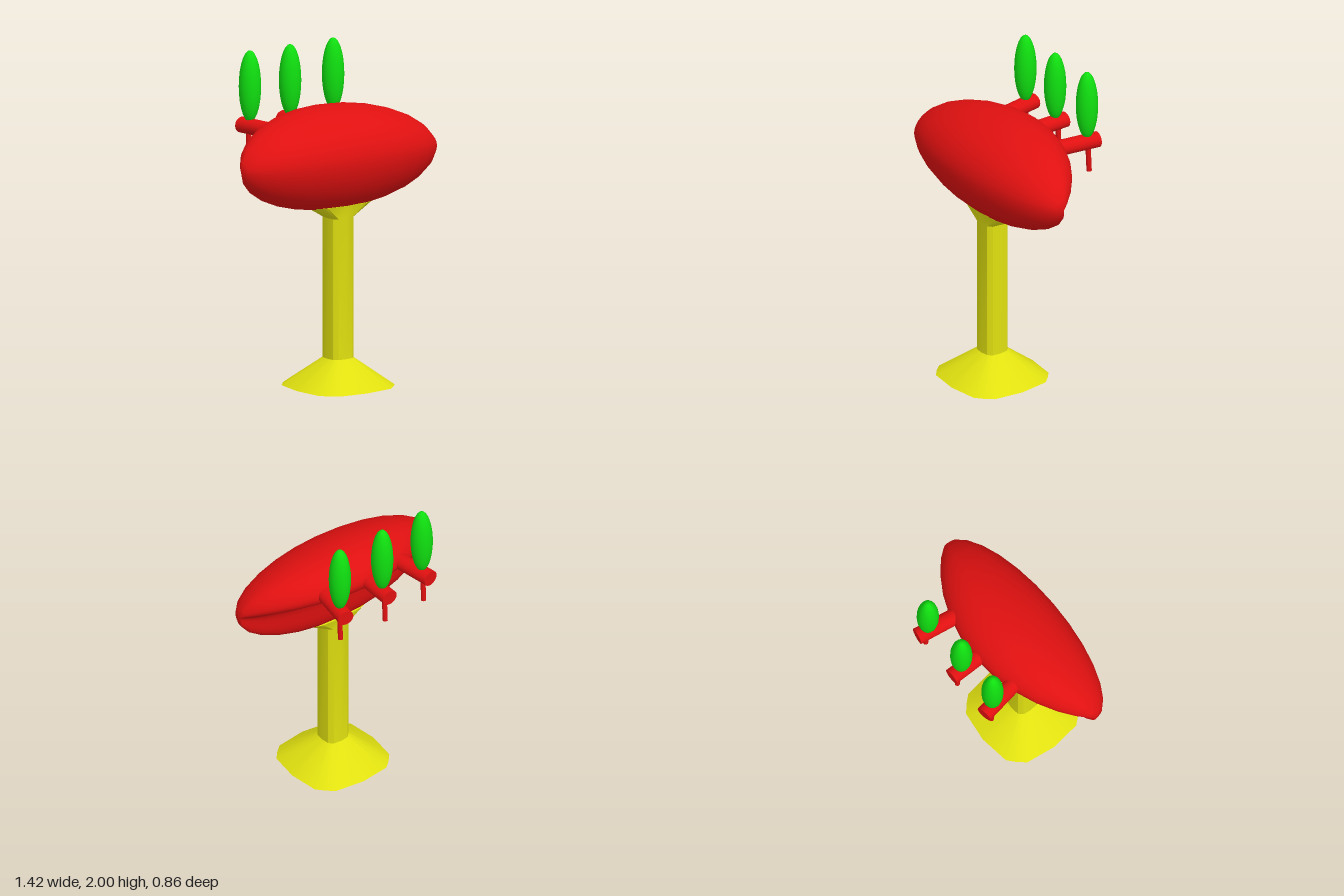
import * as THREE from 'three';
import { mergeVertices, toCreasedNormals } from 'three/addons/utils/BufferGeometryUtils.js';

const red = new THREE.MeshStandardMaterial({ color: 0xe01010 });
const yellow = new THREE.MeshStandardMaterial({ color: 0xe0e010 });
const green = new THREE.MeshStandardMaterial({ color: 0x10e010 });

// Skin a stack of closed rings, each with the same number of points
function loft(rings) {
  const n = rings[0].length, index = [];
  for (let i = 0; i < rings.length - 1; i++) {
    for (let j = 0; j < n; j++) {
      const k = (j + 1) % n;
      const a = i * n + j, b = i * n + k, c = a + n, d = b + n;
      index.push(a, c, b, b, c, d);
    }
  }
  const geo = new THREE.BufferGeometry();
  geo.setAttribute('position', new THREE.Float32BufferAttribute(rings.flat(2), 3));
  geo.setIndex(index);
  const merged = mergeVertices(geo, 1e-5);
  merged.computeVertexNormals();
  return merged;
}

function add(parent, name, geo, mat) {
  const mesh = new THREE.Mesh(geo, mat);
  mesh.name = name;
  parent.add(mesh);
  return mesh;
}

// Bean-shaped section in (z, y), shrinking towards both ends
function bodyGeometry() {
  const cz = 0.12, cy = 1.38, rx = 0.712;
  const section = new THREE.CatmullRomCurve3([
    [0.37, 1.38], [0.34, 1.50], [0.25, 1.60], [0.10, 1.67], [-0.05, 1.685],
    [-0.16, 1.645], [-0.225, 1.58], [-0.235, 1.52], [-0.18, 1.465], [-0.09, 1.415],
    [-0.02, 1.36], [0.005, 1.28], [0.015, 1.18], [0.05, 1.10], [0.12, 1.08],
    [0.22, 1.11], [0.32, 1.22],
  ].map(([z, y]) => new THREE.Vector3(0, y, z)), true).getPoints(34).slice(0, -1);
  const rings = [], steps = 14;
  for (let i = 0; i <= steps; i++) {
    const t = Math.PI * i / steps;
    const s = i % steps ? Math.sin(t) : 0;
    rings.push(section.map((p) => {
      const dz = p.z - cz;
      return [-rx * Math.cos(t), cy + (p.y - cy) * s, cz + dz * (dz < 0 ? s ** 1.5 : s)];
    }));
  }
  return loft(rings);
}

// Rounded-square column: rows of [y, half width x, half depth z]
function standGeometry() {
  let quarter = [[0, 1], [-0.62, 0.92], [-0.78, 0.78], [-0.92, 0.62]];
  const outline = [];
  for (let q = 0; q < 4; q++) {
    outline.push(...quarter);
    quarter = quarter.map(([x, z]) => [-z, x]);
  }
  const rows = [
    [0, 0, 0], [0, 0.305, 0.303], [0.17, 0.083, 0.083],
    [1.03, 0.083, 0.083], [1.11, 0.225, 0.095], [1.11, 0, 0],
  ];
  const rings = rows.map(([y, w, d]) => outline.map(([x, z]) => [x * w, y, z * d]));
  return toCreasedNormals(loft(rings), 0.55);
}

export function createModel() {
  const model = new THREE.Group();
  model.name = 'pedestalPlanter';

  add(model, 'body', bodyGeometry(), red);
  add(model, 'stand', standGeometry(), yellow).position.z = 0.125;

  // Three rear pipes, each with a drain leg below and a leaf above
  [-0.305, -0.008, 0.31].forEach((x, i) => {
    const side = i - 1;
    const branch = new THREE.Group();
    branch.name = ['rightBranch', 'middleBranch', 'leftBranch'][i];
    branch.position.set(x, 1.535, -0.35);
    model.add(branch);

    const pipe = add(branch, 'pipe', new THREE.CylinderGeometry(0.052, 0.052, 0.29, 16), red);
    pipe.rotation.set(-Math.PI / 2, 0, -side * 0.16, 'YXZ');
    pipe.position.set(-side * 0.012, 0, 0.07);
    pipe.scale.z = 0.92;

    const leg = add(branch, 'leg', new THREE.CylinderGeometry(0.016, 0.016, 0.18, 10), red);
    leg.position.set(side * 0.005, -0.105, side ? -0.008 : -0.025);
    leg.rotation.x = 0.05;

    const leaf = add(branch, 'leaf', new THREE.SphereGeometry(1, 20, 14), green);
    leaf.scale.set(0.067, 0.22, 0.067);
    leaf.position.y = 0.245;
  });
  return model;
}
